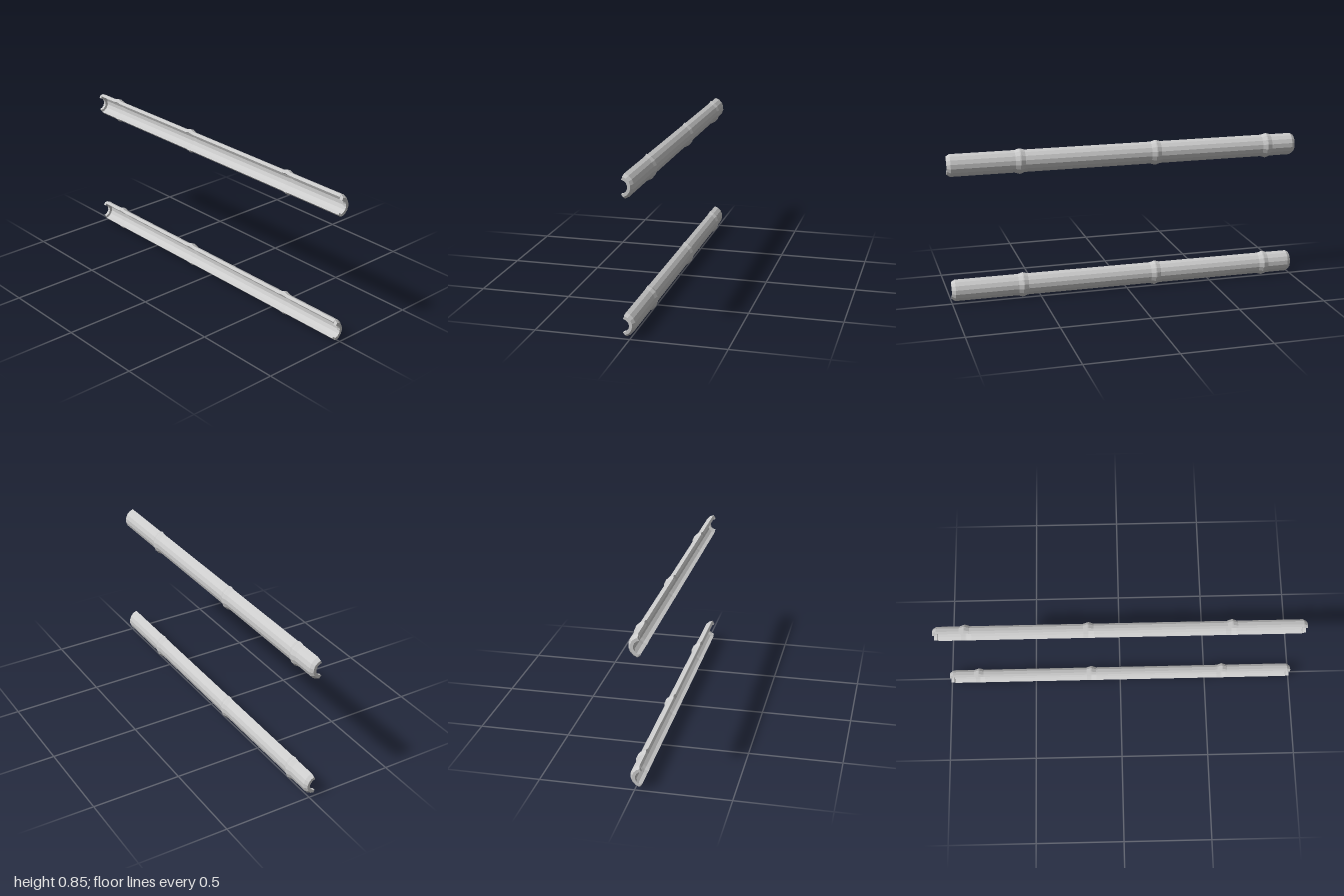
import * as THREE from 'three';

const SEGMENTS = 7;
const AXIS_Z = 0.039;
const KNOTS = [-0.83, -0.17, 0.6];

// Stations along the pole: [x, outer radius, inner radius]
function stations() {
  const list = [[-1, 0.052, 0.036], [-0.982, 0.064, 0.036], [-0.98, 0.065, 0.05]];
  for (const k of KNOTS) {
    list.push([k - 0.028, 0.065, 0.05], [k - 0.003, 0.0735, 0.053], [k + 0.003, 0.0735, 0.053], [k + 0.028, 0.065, 0.05]);
  }
  list.push([0.98, 0.065, 0.05], [0.982, 0.064, 0.036], [1, 0.052, 0.036]);
  return list;
}

// Split pole: a hollow, faceted arc swept along x, open towards the front
function splitPoleGeometry() {
  const rows = stations();
  const ring = SEGMENTS + 1;
  const pos = [];
  const idx = [];
  const addArc = (x, r, from, to) => {
    for (let j = 0; j < ring; j++) {
      const a = THREE.MathUtils.degToRad(from + ((to - from) * j) / SEGMENTS);
      pos.push(x, r * Math.sin(a), AXIS_Z + r * Math.cos(a));
    }
  };
  for (const [x, outer, inner] of rows) {
    addArc(x, outer, 103.5, 253.5);
    addArc(x, inner, 97, 263);
  }
  const O = (i, j) => i * ring * 2 + j;
  const I = (i, j) => O(i, j) + ring;
  const quad = (a, b, c, d) => idx.push(a, b, c, a, c, d);

  for (let i = 0; i < rows.length - 1; i++) {
    for (let j = 0; j < SEGMENTS; j++) {
      quad(O(i, j), O(i + 1, j), O(i + 1, j + 1), O(i, j + 1)); // outside
      quad(I(i, j), I(i, j + 1), I(i + 1, j + 1), I(i + 1, j)); // inside
    }
    // long cut edges
    quad(O(i, 0), I(i, 0), I(i + 1, 0), O(i + 1, 0));
    const n = SEGMENTS;
    quad(O(i, n), O(i + 1, n), I(i + 1, n), I(i, n));
  }
  // end faces
  const e = rows.length - 1;
  for (let j = 0; j < SEGMENTS; j++) {
    quad(O(0, j), O(0, j + 1), I(0, j + 1), I(0, j));
    quad(O(e, j), I(e, j), I(e, j + 1), O(e, j + 1));
  }

  const geometry = new THREE.BufferGeometry();
  geometry.setAttribute('position', new THREE.Float32BufferAttribute(pos, 3));
  geometry.setIndex(idx);
  const flat = geometry.toNonIndexed();
  flat.computeVertexNormals();
  return flat;
}

export function createModel() {
  const group = new THREE.Group();
  group.name = 'splitPoleRails';
  const material = new THREE.MeshStandardMaterial({ color: 0xcccccc, flatShading: true });
  const geometry = splitPoleGeometry();
  for (const [name, y] of [['lowerRail', 0.072], ['upperRail', 0.783]]) {
    const rail = new THREE.Mesh(geometry, material);
    rail.name = name;
    rail.position.y = y;
    group.add(rail);
  }
  return group;
}
